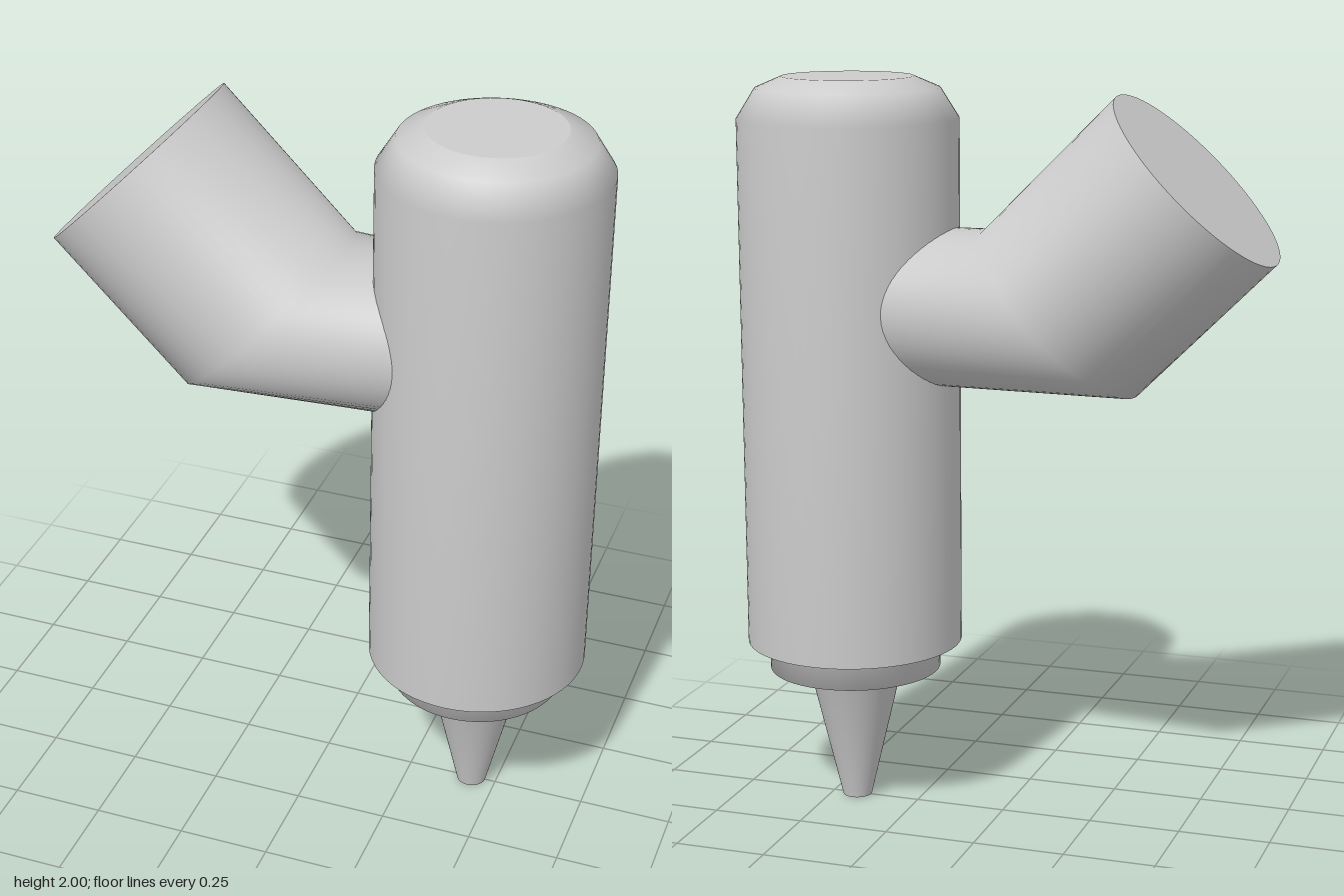
import * as THREE from 'three';

const SIDES = 64;
const AXIS_X = 0.43;
const material = new THREE.MeshStandardMaterial({ color: 0xcccccc });

function addMesh(group, name, geometry) {
  const mesh = new THREE.Mesh(geometry, material);
  mesh.name = name;
  group.add(mesh);
  return mesh;
}

// Turned part on the barrel axis; profile is [radius, height] from the bottom up
function addTurned(group, name, profile) {
  const points = profile.map(([r, y]) => new THREE.Vector2(r, y));
  addMesh(group, name, new THREE.LatheGeometry(points, SIDES)).position.x = AXIS_X;
}

// Flat disc facing along a unit normal
function addDisc(group, name, radius, centre, normal) {
  const disc = addMesh(group, name, new THREE.CircleGeometry(radius, SIDES));
  disc.position.copy(centre);
  disc.quaternion.setFromUnitVectors(new THREE.Vector3(0, 0, 1), normal);
}

// Smooth skin through circles given by centre, radius and tilt of their upper point
function loftCircles(rings) {
  const positions = [];
  const indices = [];
  rings.forEach(({ x, y, radius, tilt }, i) => {
    for (let j = 0; j < SIDES; j++) {
      const t = (j / SIDES) * Math.PI * 2;
      const up = radius * Math.cos(t);
      positions.push(x + up * Math.sin(tilt), y + up * Math.cos(tilt), radius * Math.sin(t));
      if (i === rings.length - 1) continue;
      const a = i * SIDES + j;
      const b = i * SIDES + ((j + 1) % SIDES);
      indices.push(a, b, a + SIDES, b, b + SIDES, a + SIDES);
    }
  });
  const geometry = new THREE.BufferGeometry();
  geometry.setAttribute('position', new THREE.Float32BufferAttribute(positions, 3));
  geometry.setIndex(indices);
  geometry.computeVertexNormals();
  return geometry;
}

export function createModel() {
  const group = new THREE.Group();
  group.name = 'angledNozzleTool';

  // Upright body: tapered nozzle, collar, and barrel with bevelled shoulder.
  // Each step is shared between neighbours so the rims shade softly.
  addTurned(group, 'nozzle', [[0.04, 0], [0.13, 0.38], [0.18, 0.38]]);
  addTurned(group, 'collar', [[0.18, 0.38], [0.235, 0.38], [0.235, 0.46], [0.265, 0.46]]);
  addTurned(group, 'barrel', [[0.265, 0.46], [0.295, 0.46], [0.295, 1.89], [0.245, 1.97], [0.175, 2]]);
  addDisc(group, 'nozzleTip', 0.04, new THREE.Vector3(AXIS_X, 0, 0), new THREE.Vector3(0, -1, 0));
  addDisc(group, 'barrelTop', 0.175, new THREE.Vector3(AXIS_X, 2, 0), new THREE.Vector3(0, 1, 0));

  // Side arm: straight angled tube, then a bend narrowing into the barrel
  const tilt = Math.PI / 4;
  addMesh(group, 'sideArm', loftCircles([
    { x: -0.52, y: 1.76, radius: 0.295, tilt },
    { x: -0.16, y: 1.4, radius: 0.295, tilt },
    { x: AXIS_X, y: 1.4, radius: 0.21, tilt: 0 },
  ]));
  addDisc(group, 'sideArmEnd', 0.295, new THREE.Vector3(-0.52, 1.76, 0), new THREE.Vector3(-1, 1, 0).normalize());

  return group;
}
